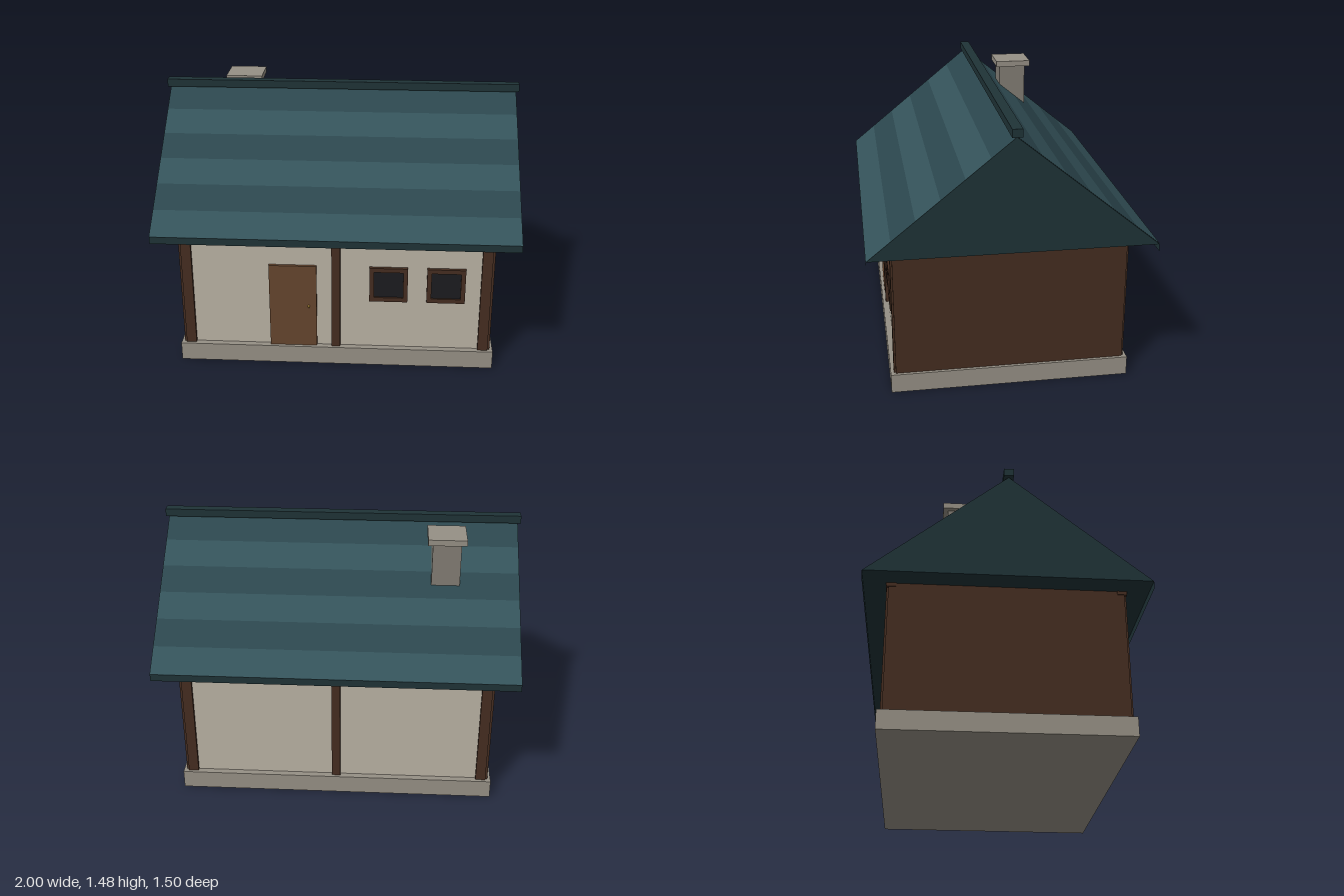
import * as THREE from 'three';

const mat = (color, side = THREE.FrontSide) => new THREE.MeshStandardMaterial({ color, side, flatShading: true });
const M = {
  stone: mat(0x969085), chimney: mat(0x827d74), plaster: mat(0xbab2a4), timber: mat(0x452d20),
  door: mat(0x65452e), glass: mat(0x1b1b1f), brass: mat(0xb08a3c),
  roofDark: mat(0x1f3337, THREE.DoubleSide), tileA: mat(0x34535a), tileB: mat(0x2b464d),
};

// Box given by its minimum and maximum on each axis
function box(parent, name, material, [x0, x1], [y0, y1], [z0, z1]) {
  const mesh = new THREE.Mesh(new THREE.BoxGeometry(x1 - x0, y1 - y0, z1 - z0), material);
  mesh.position.set((x0 + x1) / 2, (y0 + y1) / 2, (z0 + z1) / 2);
  mesh.name = name;
  parent.add(mesh);
  return mesh;
}

function createWindow(x) {
  const group = new THREE.Group();
  group.name = 'window';
  const shape = new THREE.Shape([[0, 0], [0.21, 0], [0.21, 0.205], [0, 0.205]].map(p => new THREE.Vector2(...p)));
  shape.holes.push(new THREE.Path([[0.025, 0.025], [0.025, 0.18], [0.185, 0.18], [0.185, 0.025]].map(p => new THREE.Vector2(...p))));
  const frame = new THREE.Mesh(new THREE.ExtrudeGeometry(shape, { depth: 0.025, bevelEnabled: false }), M.timber);
  frame.name = 'windowFrame';
  group.add(frame);
  box(group, 'windowPane', M.glass, [0.02, 0.19], [0.02, 0.185], [0, 0.015]);
  group.position.set(x, 0.4, 0.605);
  return group;
}

function createRoof() {
  const roof = new THREE.Group();
  roof.name = 'roof';
  const eaveY = 0.82, rise = 0.61, run = 0.75, halfLength = 0.985, rows = 6;

  // Closed triangular body with gables and soffit
  const triangle = new THREE.Shape([new THREE.Vector2(-run, 0), new THREE.Vector2(run, 0), new THREE.Vector2(0, rise)]);
  const body = new THREE.Mesh(
    new THREE.ExtrudeGeometry(triangle, { depth: 2 * halfLength, bevelEnabled: false })
      .translate(0, 0, -halfLength).rotateY(Math.PI / 2),
    M.roofDark);
  body.position.y = eaveY;
  body.name = 'roofBody';
  roof.add(body);

  // Tile courses and eave board on both slopes
  const rowLength = Math.hypot(rise, run) / rows;
  for (const turn of [0, Math.PI]) {
    const slope = new THREE.Group();
    slope.name = 'roofSlope';
    slope.rotation.y = turn;
    for (let i = 0; i < rows; i++) {
      const t = (i + 0.5) / rows;
      const course = new THREE.Mesh(new THREE.PlaneGeometry(2 * halfLength, rowLength), i % 2 ? M.tileB : M.tileA);
      course.rotation.x = -Math.atan2(run, rise);
      course.position.set(0, eaveY + rise * t + 0.002, run * (1 - t) + 0.0015);
      course.name = 'tileCourse';
      slope.add(course);
    }
    const fascia = new THREE.Mesh(new THREE.PlaneGeometry(2 * halfLength, 0.04), M.roofDark);
    fascia.position.set(0, eaveY - 0.02, run);
    fascia.name = 'eaveBoard';
    slope.add(fascia);
    roof.add(slope);
  }
  box(roof, 'ridgeCap', M.roofDark, [-1, 1], [1.432, 1.475], [-0.027, 0.027]);
  return roof;
}

export function createModel() {
  const house = new THREE.Group();
  house.name = 'house';

  box(house, 'foundation', M.stone, [-0.88, 0.88], [0, 0.105], [-0.645, 0.645]);
  box(house, 'plasterWalls', M.plaster, [-0.84, 0.84], [0.1, 0.82], [-0.61, 0.61]);

  // Timber side walls
  for (const s of [-1, 1]) {
    const wall = box(house, 'sideWall', M.timber, [0.825, 0.863], [0.1, 0.82], [-0.618, 0.618]);
    wall.position.x *= s;
  }

  // Posts and top beams on the front and back
  for (const s of [-1, 1]) {
    const frame = new THREE.Group();
    frame.name = s > 0 ? 'frontTimberFrame' : 'backTimberFrame';
    for (const x of [-0.823, 0, 0.823]) {
      const half = x ? 0.028 : 0.024;
      box(frame, 'post', M.timber, [x - half, x + half], [0.1, 0.815], [0.575, 0.628]);
    }
    box(frame, 'topBeam', M.timber, [-0.868, 0.868], [0.8, 0.82], [0.58, 0.631]);
    frame.rotation.y = s > 0 ? 0 : Math.PI;
    house.add(frame);
  }

  // Door with knob
  box(house, 'door', M.door, [-0.37, -0.107], [0.1, 0.605], [0.6, 0.627]);
  const knob = new THREE.Mesh(new THREE.SphereGeometry(0.008, 8, 6), M.brass);
  knob.position.set(-0.15, 0.357, 0.63);
  knob.name = 'doorKnob';
  house.add(knob);

  house.add(createWindow(0.185), createWindow(0.5));
  house.add(createRoof());

  // Chimney on the back slope
  box(house, 'chimneyShaft', M.chimney, [-0.66, -0.505], [1.05, 1.43], [-0.315, -0.157]);
  box(house, 'chimneyCap', M.stone, [-0.687, -0.478], [1.422, 1.455], [-0.342, -0.134]);

  return house;
}
